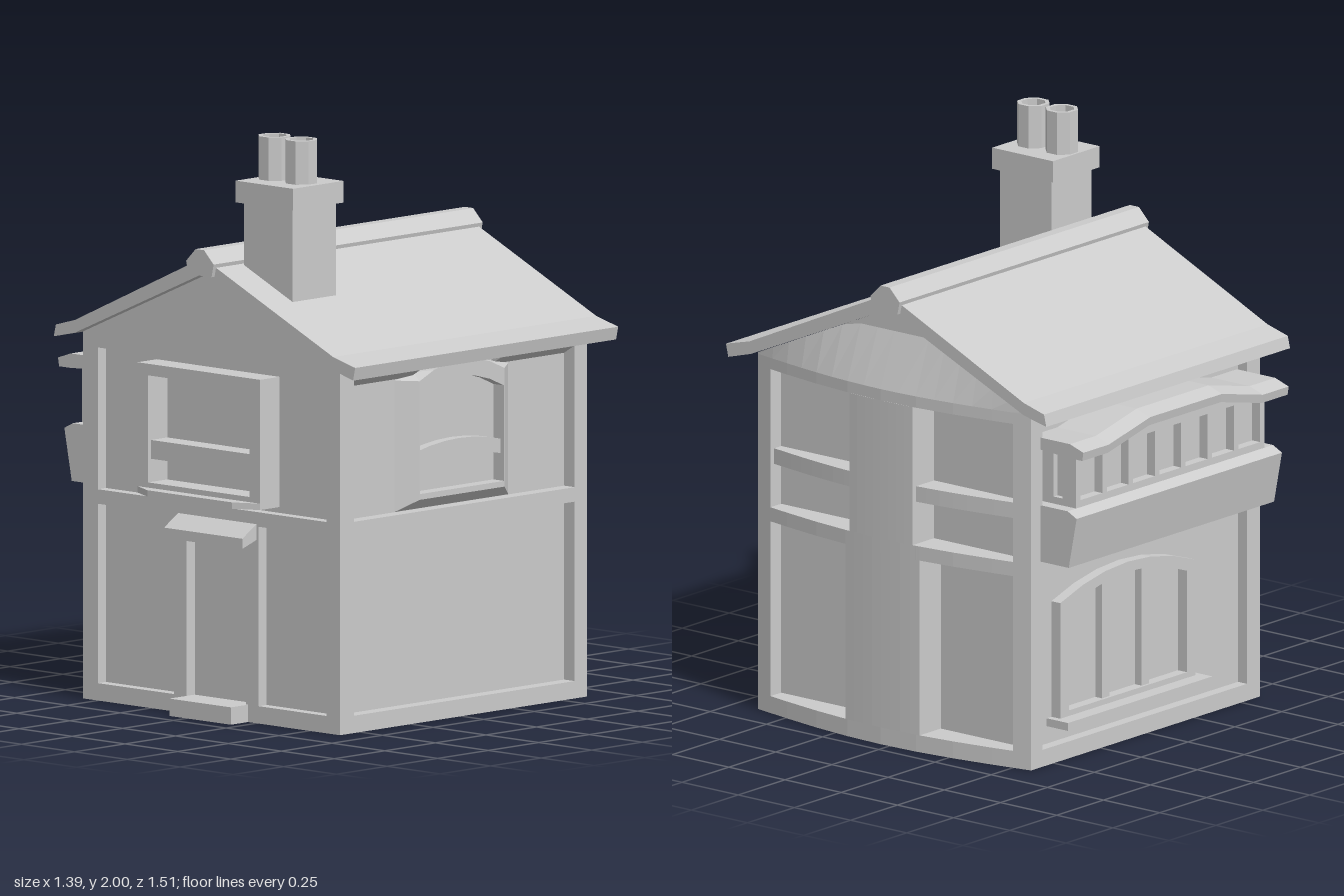
import * as THREE from 'three';

const MAT = new THREE.MeshStandardMaterial({ color: 0xcccccc, flatShading: true, side: THREE.DoubleSide });

export function createModel() {
  const house = new THREE.Group();
  house.name = 'house';

  const add = (name, geo) => {
    const m = new THREE.Mesh(geo, MAT);
    m.name = name;
    house.add(m);
    return m;
  };
  const box = (name, x0, x1, y0, y1, z0, z1) =>
    add(name, new THREE.BoxGeometry(x1 - x0, y1 - y0, z1 - z0)
      .translate((x0 + x1) / 2, (y0 + y1) / 2, (z0 + z1) / 2));
  const extrude = (pts, depth, hole) => {
    const s = new THREE.Shape(pts.map(p => new THREE.Vector2(...p)));
    if (hole) s.holes.push(new THREE.Path(hole.map(p => new THREE.Vector2(...p))));
    return new THREE.ExtrudeGeometry(s, { depth, bevelEnabled: false });
  };
  // Prisms along each axis: profiles are (z,y), (x,z) and (x,y)
  const prismX = (name, pts, x0, x1, hole) => add(name,
    extrude(pts.map(([z, y]) => [-z, y]), x1 - x0, hole && hole.map(([z, y]) => [-z, y]))
      .rotateY(Math.PI / 2).translate(x0, 0, 0));
  const prismY = (name, pts, y0, y1) => add(name,
    extrude(pts.map(([x, z]) => [x, -z]), y1 - y0).rotateX(-Math.PI / 2).translate(0, y0, 0));
  const prismZ = (name, pts, z0, z1, hole) => add(name, extrude(pts, z1 - z0, hole).translate(0, 0, z0));

  const lerp = THREE.MathUtils.lerp;
  // Arched outline, centred on cx
  const arch = (cx, hw, y0, ySide, yTop, n = 6) => {
    const pts = [[cx - hw, y0], [cx + hw, y0]];
    for (let i = 0; i <= n; i++) {
      const t = 1 - 2 * i / n;
      pts.push([cx + hw * t, lerp(yTop, ySide, t * t)]);
    }
    return pts;
  };
  // Surface through a list of loops or rows of 3D points
  const skin = (rows, closed) => {
    const n = rows[0].length, idx = [];
    for (let r = 0; r < rows.length - 1; r++)
      for (let i = 0; i < (closed ? n : n - 1); i++) {
        const a = r * n + i, b = r * n + (i + 1) % n;
        idx.push(a, b, b + n, a, b + n, a + n);
      }
    const g = new THREE.BufferGeometry();
    g.setAttribute('position', new THREE.Float32BufferAttribute(rows.flat(2), 3));
    g.setIndex(idx);
    g.computeVertexNormals();
    return g;
  };

  // Walls: recessed core, solid gable band, base
  const L = -0.6, R = 0.62, B = -0.57, F = 0.645, ZC = 0.035;
  const roofY = z => 1.535 - 0.44 * Math.abs(z - ZC);
  const gable = (z0, z1, y0) => [[z0, y0], [z1, y0], [z1, roofY(z1)], [ZC, roofY(ZC)], [z0, roofY(z0)]];
  prismX('wallCore', gable(-0.53, 0.595, 0.02), -0.56, 0.575);
  prismX('gableBand', gable(B, F, 1.22), L, R);
  box('base', L, R, 0, 0.06, B, F);

  // Front and back timber frames
  for (const [side, z0, z1] of [['front', 0.58, F], ['back', B, -0.5]]) {
    box(side + 'LeftPost', 0.575, R, 0, 1.25, z0, z1);
    box(side + 'RightPost', L, -0.53, 0, 1.25, z0, z1);
    box(side + 'Rail', L, R, 0.68, 0.73, z0, z1);
  }

  // Bowed side wall on +x
  const bow = z => 0.62 + 0.075 * Math.cos(Math.min(1, Math.abs(z - ZC) / 0.61) * Math.PI / 2);
  const bowBlock = (name, z0, z1, y0, y1, inset = 0) => {
    const pts = [[0.56, z0]];
    for (let i = 0; i <= 8; i++) {
      const z = lerp(z0, z1, i / 8);
      pts.push([bow(z) - inset, z]);
    }
    pts.push([0.56, z1]);
    return prismY(name, pts, y0, y1);
  };
  bowBlock('bowBase', B, F, 0, 0.06);
  bowBlock('bowRail', B, F, 0.68, 0.73);
  bowBlock('bowTop', B, F, 1.22, 1.26);
  bowBlock('bowPier', -0.13, 0.2, 0.06, 0.73);
  bowBlock('bowUpperPier', -0.1, 0.18, 0.73, 1.22);
  bowBlock('bowFrontPost', 0.58, F, 0, 1.26);
  bowBlock('bowBackPost', B, -0.5, 0, 1.26);
  bowBlock('frontSideTransom', 0.17, 0.6, 0.88, 0.935, 0.02);
  bowBlock('backSideTransom', -0.52, -0.09, 0.88, 0.935, 0.02);
  // Bow leaning back into the gable
  const low = [], high = [];
  for (let i = 0; i <= 16; i++) {
    const z = lerp(B, F, i / 16), y = Math.max(1.26, Math.min(1.45, roofY(z)));
    low.push([bow(z), 1.26, z]);
    high.push([lerp(bow(z), R, (y - 1.26) / 0.19), y, z]);
  }
  add('bowGable', skin([high, low], false));

  // Flat side wall on -x with door
  for (const [z0, z1] of [[B, -0.5], [0.58, F]]) box('sidePost', L, -0.55, 0, 1.25, z0, z1);
  box('sideRail', L, -0.55, 0.68, 0.73, B, F);
  box('doorPost', L, -0.55, 0, 0.7, -0.14, -0.08);
  box('doorPost', L, -0.55, 0, 0.7, 0.2, 0.26);
  box('doorstep', -0.685, -0.58, 0, 0.06, -0.08, 0.21);
  prismZ('doorCanopy', [[-0.58, 0.7], [-0.67, 0.645], [-0.67, 0.61], [-0.58, 0.64]], -0.12, 0.25);

  // Side bay window
  const rect = (a, b, c, d) => [[a, c], [b, c], [b, d], [a, d]];
  prismX('bayFrame', rect(-0.26, 0.32, 0.75, 1.2), -0.655, -0.55, rect(-0.21, 0.27, 0.79, 1.16));
  box('bayTransom', -0.64, -0.55, 0.87, 0.935, -0.22, 0.28);
  prismY('baySill', [[-0.6, -0.26], [-0.655, -0.26], [-0.7, -0.17], [-0.7, 0.23], [-0.655, 0.32], [-0.6, 0.32]], 0.75, 0.772);

  // Front window: splayed surround and arched transom
  const ring = (hw, y0, ys, yt, z) => arch(0.003, hw, y0, ys, yt).map(([x, y]) => [x, y, z]);
  add('frontWindowSurround', skin([
    ring(0.282, 0.73, 1.185, 1.22, 0.594), ring(0.21, 0.77, 1.18, 1.235, F),
    ring(0.207, 0.79, 1.12, 1.175, F), ring(0.207, 0.79, 1.12, 1.175, 0.59)], true));
  const curve = [];
  for (let i = 0; i <= 6; i++) curve.push(-0.207 + 0.069 * i);
  const bend = x => 0.025 * (1 - (x / 0.207) ** 2);
  prismZ('frontTransom', [
    ...curve.map(x => [x, 0.885 + bend(x)]),
    ...curve.slice().reverse().map(x => [x, 0.935 + bend(x)])], 0.585, 0.632);
  for (const [x0, x1] of [[-0.53, -0.2], [0.2, 0.575]])
    prismX('frontHeadTrim', [[0.58, 1.18], [F, 1.22], [0.58, 1.22]], x0, x1);

  // Back ground floor window
  prismZ('backWindowFrame', arch(0.105, 0.36, 0.14, 0.56, 0.63), B, -0.52, arch(0.105, 0.315, 0.17, 0.53, 0.595));
  for (const x of [0.0, 0.21]) box('backMullion', x - 0.02, x + 0.02, 0.15, 0.59, -0.56, -0.52);
  box('backSill', -0.28, 0.49, 0.122, 0.15, -0.625, -0.52);

  // Back upper bay: planter-like apron, row of lights, arched canopy
  prismX('bayApron', [[-0.52, 0.73], [-0.695, 0.73], [-0.73, 0.91], [-0.69, 0.93], [-0.52, 0.93]], -0.525, 0.57);
  box('bayBackPanel', -0.46, 0.505, 0.92, 1.16, -0.655, -0.52);
  box('bayLowerBar', -0.48, 0.525, 0.92, 0.955, -0.69, -0.54);
  box('bayUpperBar', -0.48, 0.525, 1.115, 1.16, -0.69, -0.54);
  for (let i = 0; i <= 7; i++) {
    const x = lerp(-0.468, 0.513, i / 7);
    box('bayMullion', x - 0.012, x + 0.012, 0.93, 1.15, -0.69, -0.63);
  }
  for (const x of [-0.47, 0.515]) box('bayEndPost', x - 0.01, x + 0.01, 0.93, 1.15, -0.59, -0.53);
  const hood = t => 0.05 * (Math.abs(t) < 0.35 ? 1 : Math.max(0, 1 - (Math.abs(t) - 0.35) / 0.4));
  const section = [[-0.52, 1.13], [-0.7, 1.12], [-0.755, 1.12], [-0.76, 1.15], [-0.7, 1.17], [-0.52, 1.17]];
  const ts = [-1, -0.75, -0.55, -0.35, 0.35, 0.55, 0.75, 1];
  const loops = ts.map(t => section.map(([z, y]) => [0.0225 + 0.5475 * t, y + hood(t), z]));
  const collapse = l => l.map(() => [l[0][0], l[0][1] + 0.02, -0.64]);
  add('bayCanopy', skin([collapse(loops[0]), ...loops, collapse(loops[7])], true));

  // Roof with flared eaves and ridge cap
  prismX('roof', [
    [0.755, 1.285], [0.65, 1.312], [ZC, 1.59], [-0.57, 1.312], [-0.66, 1.287],
    [-0.67, 1.245], [-0.57, 1.268], [ZC, 1.535], [0.645, 1.268], [0.745, 1.24]], -0.64, 0.66);
  prismX('ridgeCap', [[0.1, 1.575], [0.055, 1.62], [0.015, 1.62], [-0.03, 1.575], [-0.02, 1.53], [0.09, 1.53]], -0.655, 0.675);

  // Chimney with two hollow octagonal pots
  box('chimneyStack', -0.51, -0.297, 1.4, 1.78, 0.105, 0.335);
  box('chimneyCap', -0.53, -0.28, 1.775, 1.85, 0.085, 0.355);
  const potProfile = [[0.058, 1.84], [0.058, 2], [0.043, 2], [0.043, 1.86], [0, 1.86]].map(p => new THREE.Vector2(...p));
  for (const z of [0.148, 0.275])
    add('chimneyPot', new THREE.LatheGeometry(potProfile, 8, Math.PI / 8).translate(-0.404, 0, z));

  return house;
}
